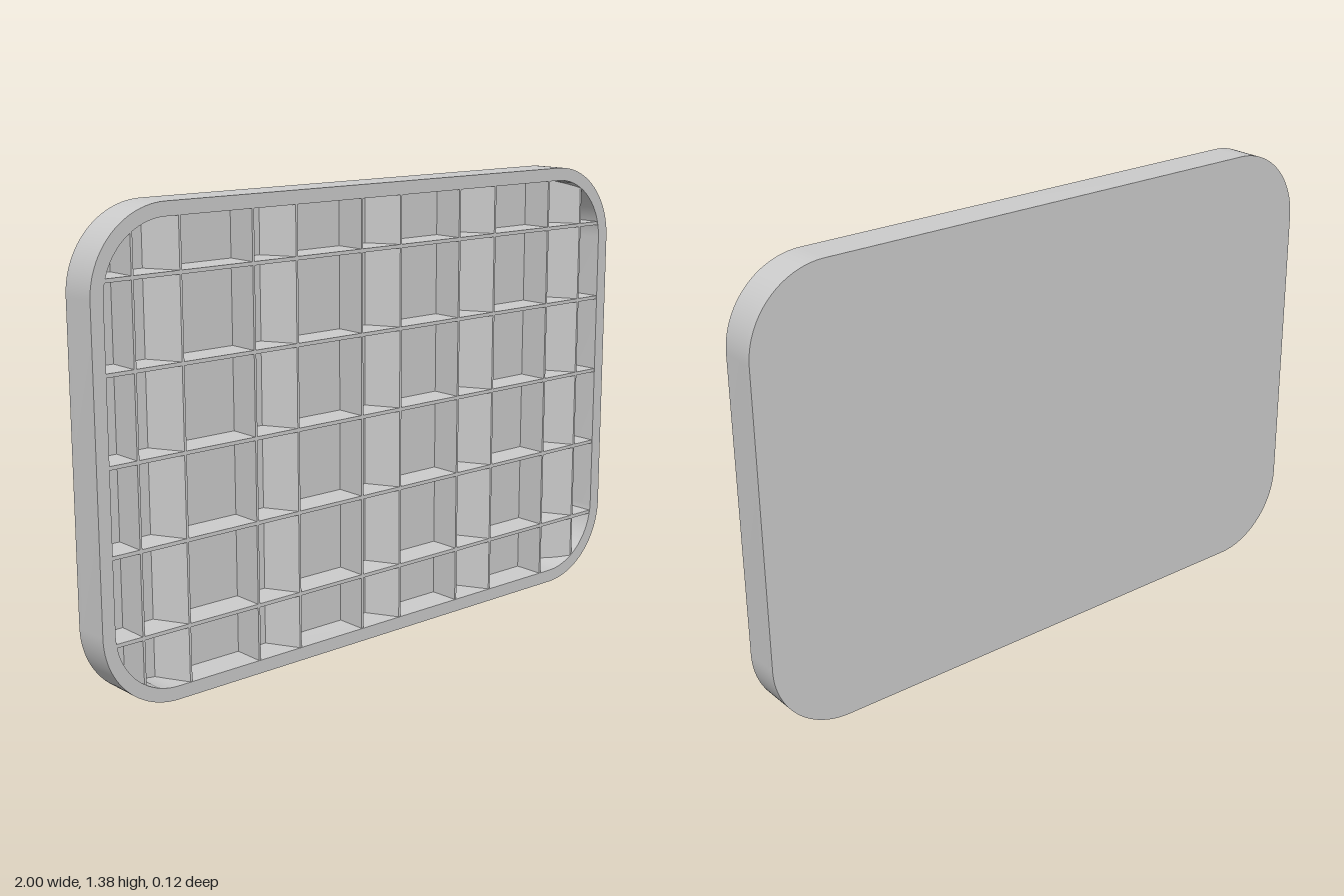
import * as THREE from 'three';
import { toCreasedNormals } from 'three/addons/utils/BufferGeometryUtils.js';

const W = 2, H = 1.385, D = 0.116, WALL = 0.04, FLOOR = 0.016, R = 0.24;
const BACK = -D / 2, RIB_FRONT = D / 2 - 0.002;
const material = new THREE.MeshStandardMaterial({ color: 0xcccccc });

// Rounded rectangle inset from the outer outline
function outline(inset, PathType) {
  const x = W / 2 - inset, b = inset, t = H - inset, r = R - inset;
  const p = new PathType();
  p.moveTo(-x + r, b);
  p.lineTo(x - r, b);
  p.absarc(x - r, b + r, r, -Math.PI / 2, 0);
  p.lineTo(x, t - r);
  p.absarc(x - r, t - r, r, 0, Math.PI / 2);
  p.lineTo(-x + r, t);
  p.absarc(-x + r, t - r, r, Math.PI / 2, Math.PI);
  p.lineTo(-x, b + r);
  p.absarc(-x + r, b + r, r, Math.PI, Math.PI * 1.5);
  return p;
}

function extrude(shape, depth) {
  return new THREE.ExtrudeGeometry(shape, { depth, bevelEnabled: false, curveSegments: 16 });
}

function addMesh(parent, name, geometry, x = 0, y = 0, z = 0) {
  const mesh = new THREE.Mesh(geometry, material);
  mesh.name = name;
  mesh.position.set(x, y, z);
  parent.add(mesh);
  return mesh;
}

export function createModel() {
  const group = new THREE.Group();
  group.name = 'ribbedPanel';

  // Solid back plate
  addMesh(group, 'backPlate', toCreasedNormals(extrude(outline(0, THREE.Shape), FLOOR), 0.5), 0, 0, BACK);

  // Raised rim around the edge
  const rimShape = outline(0, THREE.Shape);
  rimShape.holes.push(outline(WALL, THREE.Path));
  addMesh(group, 'rim', toCreasedNormals(extrude(rimShape, D - FLOOR), 0.5), 0, 0, BACK + FLOOR);

  // Vertical ribs in facing pairs: upright outer side, sloping inner side
  const ribHeight = H - 2 * WALL + 0.01;
  const zBase = BACK + FLOOR / 2;
  for (let i = -2; i <= 2; i++) {
    for (const side of [-1, 1]) {
      const section = [[0.08, zBase], [0.08, RIB_FRONT], [0.073, RIB_FRONT], [0.021, BACK + FLOOR], [0.021, zBase]];
      const shape = new THREE.Shape(section.map(([x, z]) => new THREE.Vector2(side * x, -z)));
      const geometry = extrude(shape, ribHeight).rotateX(-Math.PI / 2);
      addMesh(group, 'verticalRib', geometry, i * 0.396, (H - ribHeight) / 2, 0);
    }
  }

  // Thin horizontal ribs
  const ribDepth = RIB_FRONT - zBase;
  for (let i = -2; i <= 2; i++) {
    const geometry = new THREE.BoxGeometry(W - 2 * WALL + 0.01, 0.011, ribDepth);
    addMesh(group, 'horizontalRib', geometry, 0, 0.7 + i * 0.247, zBase + ribDepth / 2);
  }

  return group;
}
